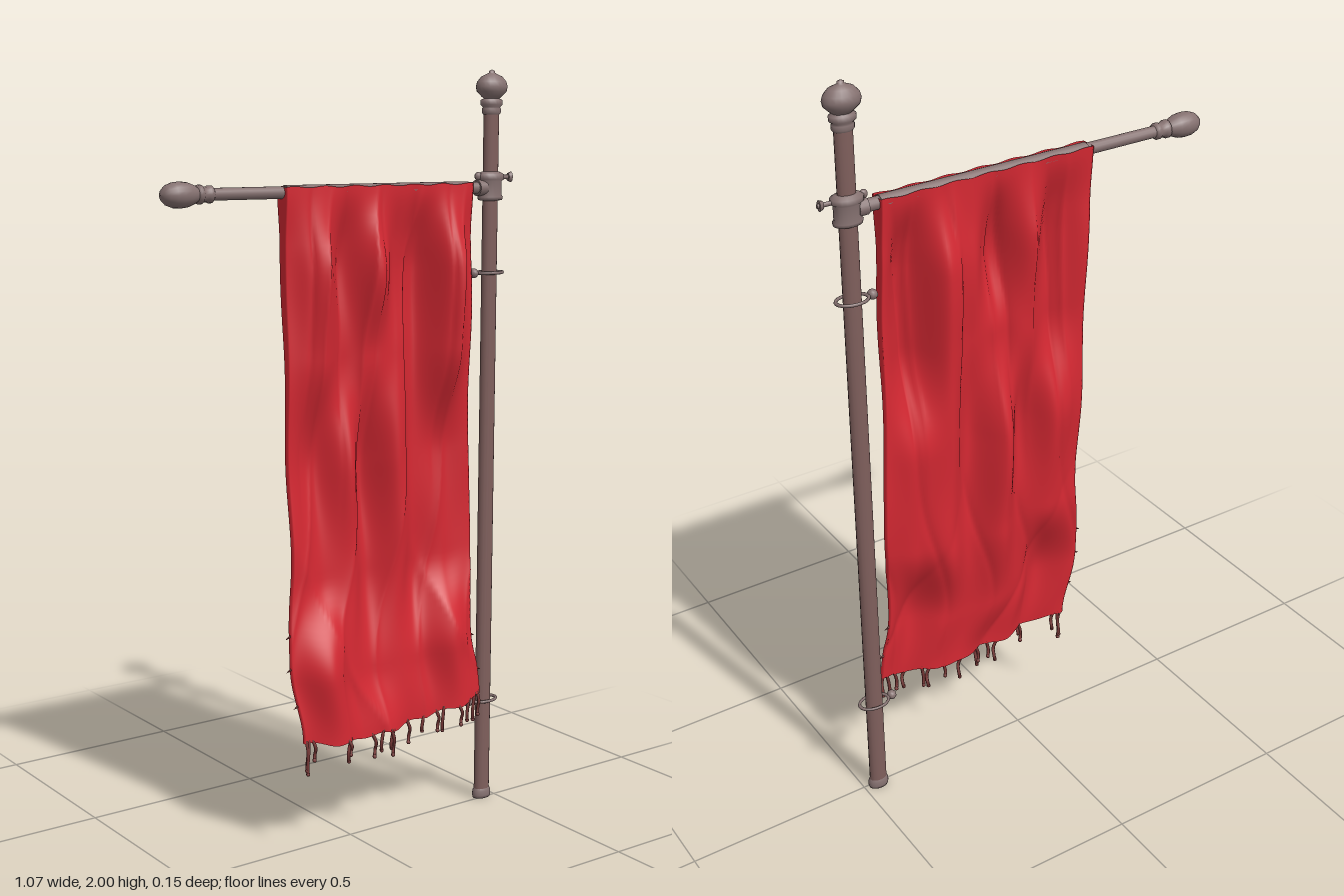
import * as THREE from 'three';

const poleX = 0.46, axisZ = -0.008, beamY = 1.696;

// smooth interpolation through [t, value] keys
function track(keys, t) {
  for (let i = 1; i < keys.length; i++) {
    const [t0, a] = keys[i - 1], [t1, b] = keys[i];
    if (t <= t1) return a + (b - a) * THREE.MathUtils.smoothstep(t, t0, t1);
  }
  return keys[keys.length - 1][1];
}

const leftEdge = [[0, -0.2], [0.3, -0.187], [0.68, -0.18], [0.85, -0.2], [1, -0.168]];
const rightEdge = [[0, 0.385], [0.3, 0.392], [0.65, 0.408], [0.85, 0.392], [1, 0.415]];
const layerGap = [[0, 0.021], [0.1, 0.012], [0.5, 0.006], [1, 0.004]];

// depth of the folds: one row per column u, one depth per height v
const heights = [0, 0.15, 0.3, 0.5, 0.7, 0.88, 1];
const folds = [
  [0.00, [0, -0.008, -0.008, -0.012, 0.000, 0.015, 0.032]],
  [0.17, [0, 0.040, 0.020, -0.045, -0.010, 0.070, 0.064]],
  [0.32, [0, -0.032, -0.020, 0.018, 0.005, 0.022, 0.034]],
  [0.46, [0, 0.046, 0.000, -0.066, -0.048, 0.005, 0.036]],
  [0.60, [0, -0.026, -0.010, 0.012, -0.005, 0.008, 0.018]],
  [0.73, [0, -0.050, -0.048, -0.040, -0.048, 0.000, 0.022]],
  [0.87, [0, 0.056, 0.042, -0.040, -0.020, 0.048, 0.045]],
  [1.00, [0, 0.000, 0.000, -0.018, -0.010, 0.015, 0.025]],
].map(([u, depths]) => [u, depths.map((z, i) => [heights[i], z])]);

// narrow pinched creases that lean across the cloth
const pinch = (phase) => (1 - Math.abs(Math.sin(phase))) ** 4;

// point on the hanging cloth: u across, v down, side +1 front / -1 back
function clothPoint(u, v, side) {
  const x0 = track(leftEdge, v), x1 = track(rightEdge, v);
  const lean = u + 0.06 * (0.5 - Math.abs(v - 0.5)) * Math.sin(Math.PI * u);
  const fold = track(folds.map(([c, keys]) => [c, track(keys, v)]), lean);
  const hang = Math.min(1, v * 8);
  const crease = 0.011 * pinch(13 * u + 3.4 * v + 0.4 * Math.sin(v * 9)) * (1 - 0.7 * v)
    - 0.011 * pinch(17 * u + 1.6 * v + 1) * Math.max(0, 1 - v * 1.6)
    + 0.009 * pinch(5 * u - 6 * v + 0.6) * THREE.MathUtils.smoothstep(v, 0.55, 0.85);
  const z = axisZ * (1 - v) + fold + hang * (crease + 0.003 * Math.sin(v * 23 + u * 9)) + side * track(layerGap, v);
  const bottom = 0.28 + 0.11 * (u - 0.4) ** 2 + 0.004 * Math.sin(u * 34);
  const top = 1.709 + 0.002 * Math.sin(u * 40);
  return new THREE.Vector3(x0 + (x1 - x0) * u, top + (bottom - top) * v, z);
}

// closed ring of front and back layers, swept down the cloth
function clothGeometry(cols = 120, rows = 80) {
  const pos = [], idx = [], n = cols * 2 + 2;
  for (let j = 0; j <= rows; j++) {
    for (let i = 0; i < n; i++) {
      const front = i <= cols;
      const p = clothPoint((front ? i : n - 1 - i) / cols, j / rows, front ? 1 : -1);
      pos.push(p.x, p.y, p.z);
    }
  }
  for (let j = 0; j < rows; j++) {
    for (let i = 0; i < n; i++) {
      const a = j * n + i, b = j * n + (i + 1) % n, c = a + n, d = b + n;
      idx.push(a, c, b, b, c, d);
    }
  }
  const g = new THREE.BufferGeometry();
  g.setAttribute('position', new THREE.Float32BufferAttribute(pos, 3));
  g.setIndex(idx);
  g.computeVertexNormals();
  return g;
}

export function createModel() {
  const model = new THREE.Group();
  const mat = (name, color, side = THREE.FrontSide) => {
    const m = new THREE.MeshStandardMaterial({ color, side });
    m.name = name;
    return m;
  };
  const metal = mat('agedMetal', 0x857170);
  const wood = mat('reddishPole', 0x7f5f5c);
  const red = mat('redCloth', 0xd42832, THREE.DoubleSide);
  const maroon = mat('fringeThread', 0x7a3a38);

  const add = (name, geo, material, parent = model) => {
    const mesh = new THREE.Mesh(geo, material);
    mesh.name = name;
    parent.add(mesh);
    return mesh;
  };
  const lathe = (pts, seg = 20) =>
    new THREE.LatheGeometry(pts.map(([r, y]) => new THREE.Vector2(r, y)), seg);

  // upright, flattened front to back
  const upright = new THREE.Group();
  upright.name = 'upright';
  upright.position.set(poleX, 0, axisZ);
  upright.scale.z = 0.7;
  model.add(upright);
  add('poleShaft', new THREE.CylinderGeometry(0.023, 0.024, 1.88, 16).translate(0, 0.95, 0), wood, upright);
  add('poleFoot', lathe([[0, 0], [0.027, 0], [0.029, 0.008], [0.028, 0.02], [0.024, 0.027]]), metal, upright);
  add('poleCap', lathe([[0.024, 1.885], [0.028, 1.89], [0.028, 1.9], [0.025, 1.904], [0.033, 1.91],
    [0.033, 1.922], [0.022, 1.926], [0.02, 1.932]]), metal, upright);
  add('poleFinial', lathe([[0.018, 1.922], [0.03, 1.931], [0.044, 1.944], [0.047, 1.956], [0.043, 1.969],
    [0.031, 1.982], [0.014, 1.989], [0.008, 1.992], [0.009, 1.996], [0, 2]]), metal, upright);

  // clamp that joins the beam to the upright
  add('clampSleeve', lathe([[0.024, 1.662], [0.036, 1.664], [0.038, 1.672], [0.034, 1.677], [0.034, 1.713],
    [0.041, 1.718], [0.041, 1.73], [0.03, 1.736], [0.024, 1.738]]), metal, upright);
  add('clampScrew', new THREE.CylinderGeometry(0.006, 0.006, 0.05, 8)
    .rotateZ(Math.PI / 2).translate(0.05, 1.723, 0), metal, upright);
  add('screwHead', new THREE.CylinderGeometry(0.014, 0.01, 0.01, 10)
    .rotateZ(-Math.PI / 2).translate(0.065, 1.723, 0), metal, upright);
  add('clampLug', new THREE.SphereGeometry(0.011, 10, 8).translate(-0.042, 1.726, 0), metal, upright);

  // beam, its collar and its egg-shaped knob
  const beam = new THREE.Group();
  beam.name = 'beam';
  beam.position.set(0, beamY, axisZ);
  beam.rotation.z = Math.PI / 2; // local +y points to -x
  model.add(beam);
  add('beamShaft', new THREE.CylinderGeometry(0.015, 0.016, 0.87, 14).translate(0, -0.015, 0), metal, beam);
  const core = add('beamCore', new THREE.CylinderGeometry(0.018, 0.018, 0.57, 14).translate(0, -0.095, 0), metal, beam);
  core.scale.z = 1.1;
  add('beamCollar', lathe([[0.015, 0.395], [0.021, 0.4], [0.021, 0.408], [0.018, 0.412], [0.019, 0.424],
    [0.023, 0.428], [0.023, 0.436], [0.017, 0.44]]), metal, beam);
  add('beamKnob', lathe([[0.016, 0.436], [0.022, 0.446], [0.029, 0.464], [0.0315, 0.484], [0.03, 0.503],
    [0.024, 0.52], [0.014, 0.531], [0, 0.535]]), metal, beam);
  add('beamSocket', new THREE.CylinderGeometry(0.021, 0.021, 0.025, 14).translate(0, -0.425, 0), metal, beam);

  // cloth
  add('clothPanel', clothGeometry(), red);

  // rings that hold the cloth edge to the upright
  for (const y of [1.473, 0.287]) {
    const ring = new THREE.Group();
    ring.name = 'tieRing';
    ring.position.set(poleX, y, axisZ);
    model.add(ring);
    add('ringLoop', new THREE.TorusGeometry(0.041, 0.0045, 8, 28)
      .rotateX(Math.PI / 2).scale(1, 1, 0.68), metal, ring);
    add('ringKnot', new THREE.SphereGeometry(0.013, 10, 8).translate(-0.053, 0, 0), metal, ring);
  }

  // fringe: [u across the cloth, length, sideways bend]
  const strands = [[0.01, 0.075, 0.004], [0.025, 0.085, -0.004], [0.04, 0.05, 0.008], [0.2, 0.035, 0.01],
    [0.225, 0.055, -0.01], [0.36, 0.06, 0.012], [0.42, 0.05, -0.008], [0.455, 0.065, 0.008],
    [0.48, 0.045, -0.01], [0.58, 0.06, 0.01], [0.68, 0.035, -0.006], [0.75, 0.055, 0.01],
    [0.79, 0.06, -0.006], [0.86, 0.05, 0.01], [0.93, 0.055, -0.01], [0.975, 0.07, -0.008], [0.99, 0.06, 0.004]];
  const fringe = new THREE.Group();
  fringe.name = 'fringe';
  model.add(fringe);
  for (const [u, len, bend] of strands) {
    const p = clothPoint(u, 1, 0);
    const at = (dx, dy, dz) => new THREE.Vector3(p.x + dx, p.y - dy, p.z + dz);
    const path = new THREE.CatmullRomCurve3([at(0, -0.008, 0), at(bend, len * 0.35, 0.004),
      at(bend * 1.3, len * 0.7, -bend * 0.5), at(bend * 0.8, len, 0)]);
    add('fringeStrand', new THREE.TubeGeometry(path, 8, 0.0045, 6), maroon, fringe);
    add('strandEnd', new THREE.SphereGeometry(0.006, 6, 5)
      .translate(p.x + bend * 0.8, p.y - len, p.z), maroon, fringe);
  }

  // loose threads along the lower side edges
  for (const [side, v] of [[0, 0.8], [0, 0.86], [0, 0.93], [1, 0.88], [1, 0.95]]) {
    const p = clothPoint(side, v, 0);
    add('looseThread', new THREE.ConeGeometry(0.004, 0.018, 5)
      .rotateZ(side ? -2 : 2).translate(p.x + (side ? 0.006 : -0.006), p.y, p.z), maroon, fringe);
  }
  return model;
}
